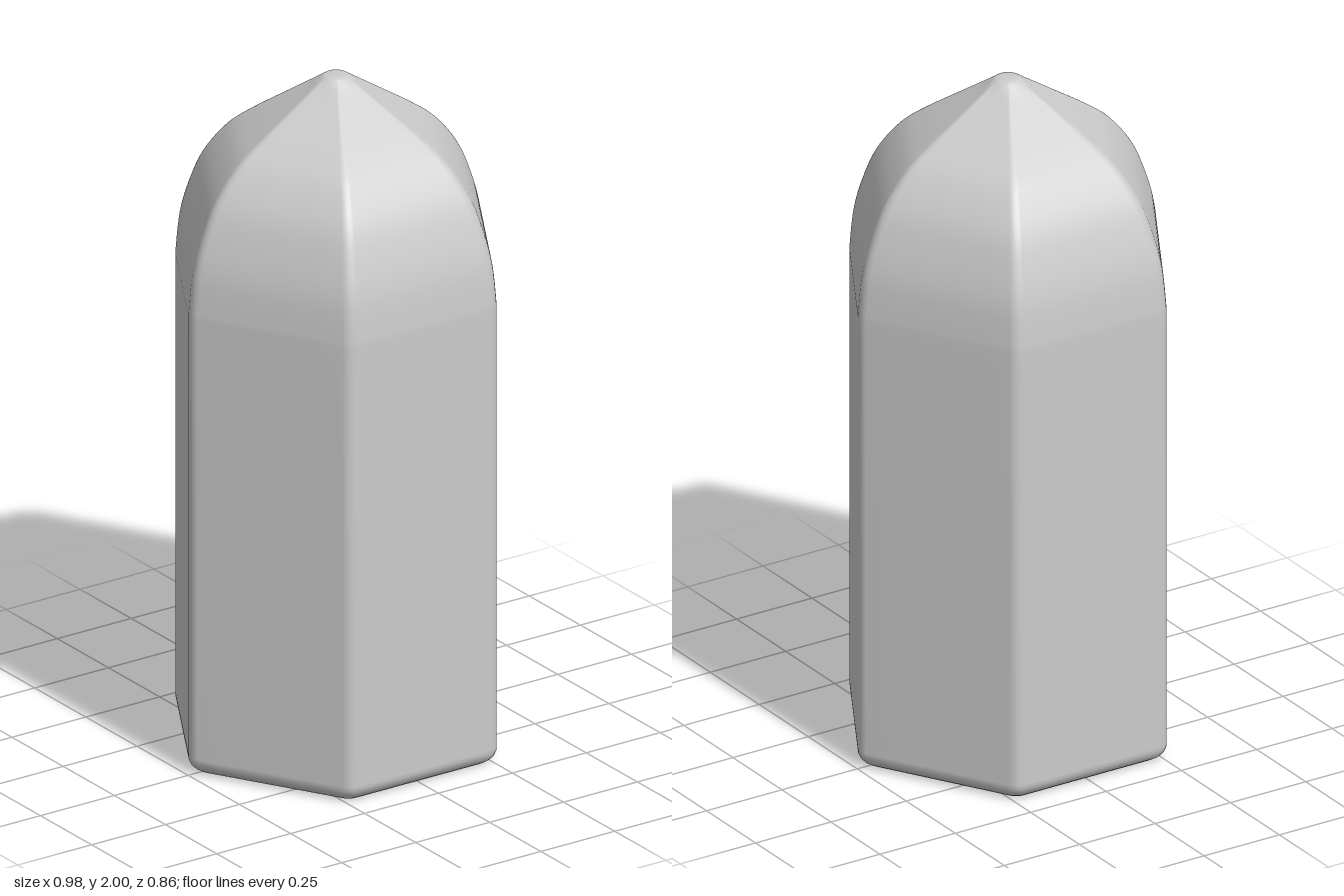
import * as THREE from 'three';
import { mergeVertices } from 'three/addons/utils/BufferGeometryUtils.js';

const APOTHEM = 0.43, FILLET = 0.042;
const CORNER = 0.49;
const rad = THREE.MathUtils.degToRad;

// Radius of a hexagon with rounded corners, at an angle (degrees) from a corner
function hexRadius(deg) {
  const a = rad(deg);
  const c = (APOTHEM - FILLET) / Math.cos(Math.PI / 6);
  if (Math.abs(deg) <= 2.5) {
    return c * Math.cos(a) + Math.sqrt(FILLET ** 2 - (c * Math.sin(a)) ** 2);
  }
  return APOTHEM / Math.cos(rad(30 - deg));
}

export function createModel() {
  const group = new THREE.Group();
  const v = (x, y) => new THREE.Vector2(x, y);

  // Corner profile: flat base, rounded lower edge, straight wall, ogive top
  const base = [v(0, 0), v(0.25, 0), v(0.445, 0), v(0.455, 0.002), v(0.47, 0.011),
    v(0.482, 0.023), v(0.489, 0.037), v(0.49, 0.05), v(0.49, 0.3), v(0.49, 0.8), v(0.49, 1.3)];
  const dome = new THREE.SplineCurve([v(0.49, 1.38), v(0.477, 1.5), v(0.449, 1.6), v(0.405, 1.7),
    v(0.335, 1.79), v(0.26, 1.85), v(0.15, 1.923), v(0.04, 1.995)]).getPoints(42);
  const profile = [...base, ...dome, v(0.032, 2), v(0.015, 2), v(0, 2)];

  // Column angles in each sector, crowded around the rounded corner
  const offsets = [-2.5, -1.25, 0, 1.25, 2.5, 12, 21, 30, 39, 48];
  const n = offsets.length;
  let body = new THREE.LatheGeometry(profile, 6 * n);
  const pos = body.attributes.position;
  for (let i = 0; i <= 6 * n; i++) {
    const off = offsets[i % n];
    const phi = rad(30 + 60 * (Math.floor(i / n) % 6) + off);
    const hex = hexRadius(off) / CORNER;
    profile.forEach((p, j) => {
      // The tip becomes round while the rest stays hexagonal
      const k = p.y > 1.9 ? THREE.MathUtils.smoothstep(p.x, 0.03, 0.09) : 1;
      const r = p.x * THREE.MathUtils.lerp(1, hex, k);
      pos.setXYZ(i * profile.length + j, r * Math.sin(phi), p.y, r * Math.cos(phi));
    });
  }
  body.deleteAttribute('uv');
  body.deleteAttribute('normal');
  body = mergeVertices(body, 1e-5);
  body.computeVertexNormals();

  const mesh = new THREE.Mesh(body, new THREE.MeshStandardMaterial({ color: 0xcccccc }));
  mesh.name = 'hexagonalBody';
  group.add(mesh);
  return group;
}
